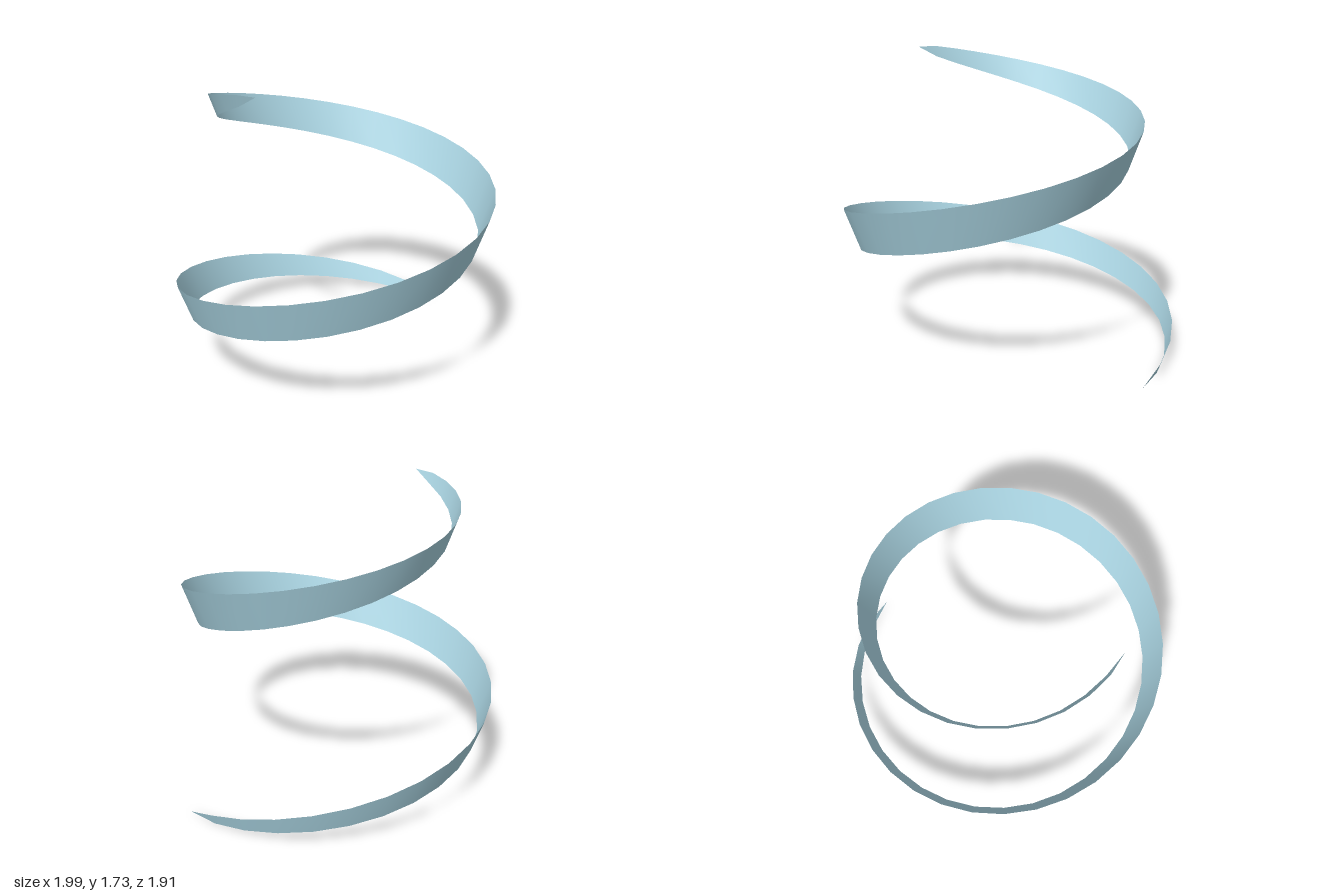
import * as THREE from 'three';

const SEGMENTS = 48;
const TURNS = 1.5;

// Two edge points of the ribbon at t (0 = bottom tip, 1 = top tip)
function crossSection(t) {
  const angle = t * TURNS * Math.PI * 2;
  const width = Math.sqrt(Math.max(0, Math.sin(Math.PI * t))); // swells from pointed tips
  const radius = 1.031 - 0.342 * t; // the coil narrows upwards
  return [-0.5, 0.5].map((side) => {
    const r = radius + side * 0.087 * width; // upper edge leans outwards
    return [
      -0.036 + r * Math.cos(angle),
      1.73 * t + side * 0.25 * width,
      0.05 - r * Math.sin(angle),
    ];
  });
}

function ribbonGeometry() {
  const positions = [];
  const indices = [];
  for (let i = 0; i <= SEGMENTS; i++) {
    positions.push(...crossSection(i / SEGMENTS).flat());
  }
  for (let i = 0; i < SEGMENTS; i++) {
    const a = i * 2; // lower, upper, next lower, next upper
    // The tips are single points, so each end needs only one triangle
    if (i < SEGMENTS - 1) indices.push(a, a + 2, a + 3);
    if (i > 0) indices.push(a, a + 3, a + 1);
  }
  const geometry = new THREE.BufferGeometry();
  geometry.setAttribute('position', new THREE.Float32BufferAttribute(positions, 3));
  geometry.setIndex(indices);
  geometry.computeVertexNormals();
  return geometry;
}

export function createModel() {
  const paleBlue = new THREE.MeshStandardMaterial({ color: 0xadd8e6, side: THREE.DoubleSide });
  paleBlue.name = 'paleBlue';

  const group = new THREE.Group();
  group.name = 'spiralRibbon';
  const ribbon = new THREE.Mesh(ribbonGeometry(), paleBlue);
  ribbon.name = 'ribbon';
  group.add(ribbon);
  return group;
}
